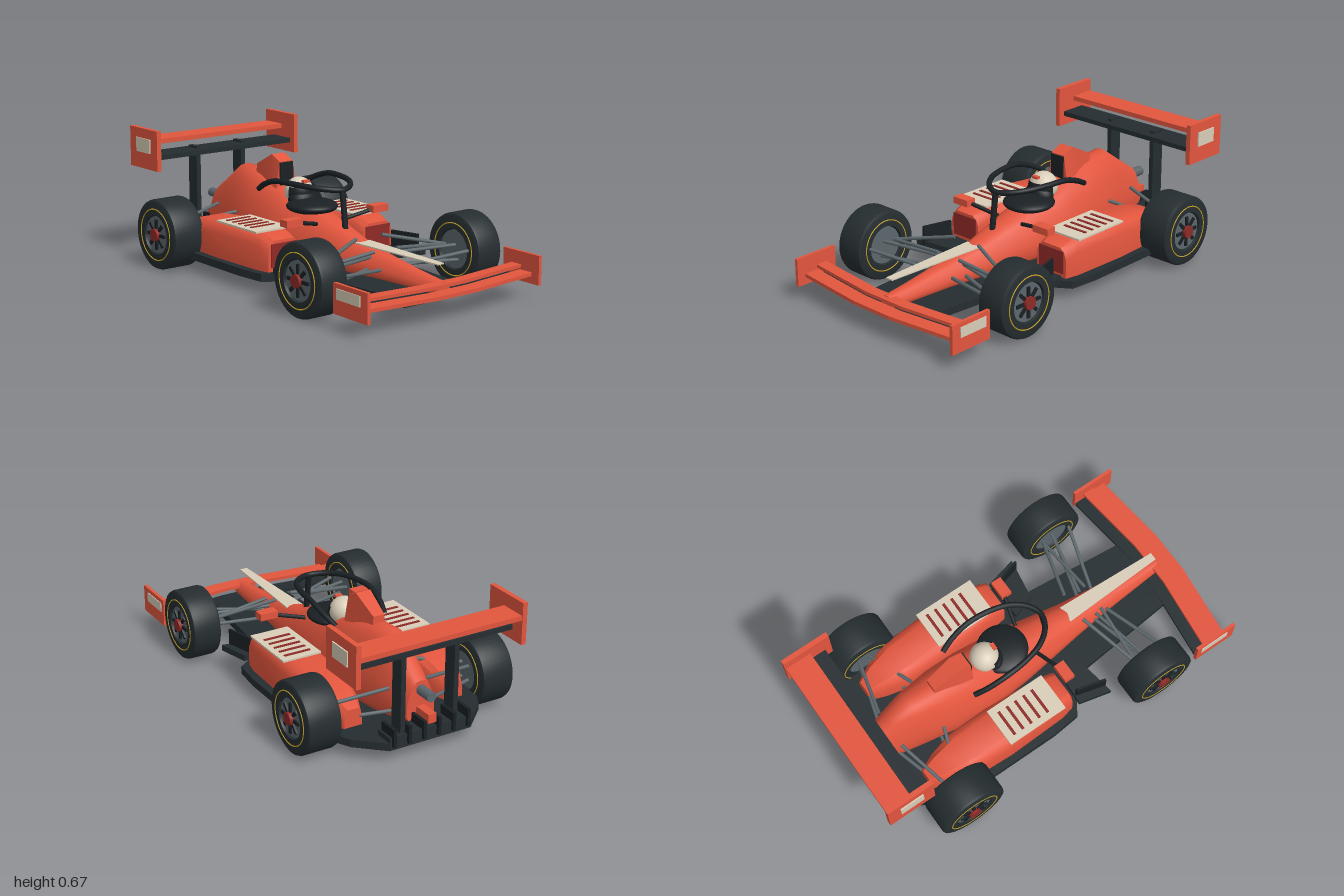
import * as THREE from 'three';
import { toCreasedNormals } from 'three/addons/utils/BufferGeometryUtils.js';

const paint = (color) => new THREE.MeshStandardMaterial({ color });
const RED = paint(0xe2553d), DARK = paint(0x252d30), BLACK = paint(0x1a2024), CREAM = paint(0xd8cdb8);
const GREY = paint(0x5c676c), GOLD = paint(0xc9a227), MAROON = paint(0x8e2a26);

export function createModel() {
  const car = new THREE.Group();
  car.name = 'raceCar';

  const add = (name, geometry, material, x = 0, y = 0, z = 0, parent = car) => {
    const mesh = new THREE.Mesh(geometry, material);
    mesh.name = name;
    mesh.position.set(x, y, z);
    parent.add(mesh);
    return mesh;
  };
  // Box given by its extents
  const box = (name, material, x0, x1, y0, y1, z0, z1) =>
    add(name, new THREE.BoxGeometry(Math.abs(x1 - x0), y1 - y0, Math.abs(z1 - z0)), material,
      (x0 + x1) / 2, (y0 + y1) / 2, (z0 + z1) / 2);
  // Straight rod between two points
  const rod = (name, material, a, b, r) => {
    const p = new THREE.Vector3(...a), q = new THREE.Vector3(...b), d = q.clone().sub(p);
    const mesh = add(name, new THREE.CylinderGeometry(r, r, d.length(), 10), material);
    mesh.position.copy(p).add(q).multiplyScalar(0.5);
    mesh.quaternion.setFromUnitVectors(new THREE.Vector3(0, 1, 0), d.normalize());
    return mesh;
  };
  // Flat plate from an [x, z] outline
  const plate = (name, material, outline, top, thick) => {
    const shape = new THREE.Shape(outline.map(([x, z]) => new THREE.Vector2(x, z)));
    const geo = new THREE.ExtrudeGeometry(shape, { depth: thick, bevelEnabled: false });
    return add(name, geo.rotateX(Math.PI / 2), material, 0, top, 0);
  };
  const mirrored = (half) => [...half, ...half.map(([x, z]) => [-x, z]).reverse()];
  // Skin through rings of points (counter-clockwise from the front, front to back)
  const loft = (rings) => {
    const n = rings[0].length, pos = rings.flat(2), index = [];
    for (let i = 0; i < rings.length - 1; i++) {
      for (let j = 0; j < n; j++) {
        const a = i * n + j, b = i * n + (j + 1) % n;
        index.push(a, a + n, b, a + n, b + n, b);
      }
    }
    [rings[0], rings[rings.length - 1]].forEach((ring, end) => {
      const base = pos.length / 3;
      pos.push(...ring.flat());
      for (let j = 1; j < n - 1; j++) {
        if (end) index.push(base, base + j + 1, base + j);
        else index.push(base, base + j, base + j + 1);
      }
    });
    const geo = new THREE.BufferGeometry();
    geo.setAttribute('position', new THREE.Float32BufferAttribute(pos, 3));
    geo.setIndex(index);
    geo.computeVertexNormals();
    return geo;
  };

  // Body shell: [z, half width, bottom, top]
  const section = [[0.85, 0], [1, 0.1], [1, 0.32], [0.92, 0.5], [0.76, 0.7], [0.56, 0.88], [0.3, 0.98], [0, 1]];
  const ringPoints = [...section, ...section.slice(0, -1).reverse().map(([x, y]) => [-x, y])];
  const shell = [
    [0.9, 0.04, 0.105, 0.16], [0.76, 0.052, 0.105, 0.175], [0.55, 0.07, 0.105, 0.205],
    [0.35, 0.093, 0.1, 0.238], [0.15, 0.123, 0.1, 0.3], [0, 0.145, 0.1, 0.345],
    [-0.15, 0.158, 0.1, 0.375], [-0.25, 0.161, 0.1, 0.42], [-0.42, 0.155, 0.1, 0.458],
    [-0.6, 0.125, 0.1, 0.48], [-0.72, 0.102, 0.11, 0.395], [-0.83, 0.075, 0.13, 0.32],
  ];
  add('bodyShell', loft(shell.map(([z, w, y0, y1]) =>
    ringPoints.map(([x, y]) => [x * w, y0 + y * (y1 - y0), z]))), RED);
  plate('noseStripe', CREAM, mirrored([[0.045, 0.33], [0.02, 0.88]]), 0.24, 0.006);

  // Air intake behind the driver
  const intake = [[-0.265, 0.064, 0.04, 0.54], [-0.33, 0.06, 0.04, 0.57], [-0.47, 0.036, 0.03, 0.5]];
  add('airIntake', toCreasedNormals(loft(intake.map(([z, b, t, y]) =>
    [[b, 0.4, z], [t, y, z], [-t, y, z], [-b, 0.4, z]])), 0.5), RED);
  box('intakeMouth', BLACK, -0.04, 0.04, 0.42, 0.535, -0.268, -0.258);

  // Cockpit, driver and halo
  add('cockpit', new THREE.SphereGeometry(1, 32, 16).scale(0.128, 0.037, 0.13), BLACK, 0, 0.347, -0.055);
  add('driverBody', new THREE.SphereGeometry(1, 24, 12).scale(0.08, 0.05, 0.06), BLACK, 0, 0.37, -0.13);
  add('helmet', new THREE.SphereGeometry(0.073, 32, 20), CREAM, 0, 0.403, -0.16);
  add('visor', new THREE.SphereGeometry(0.076, 24, 8, Math.PI * 0.05, Math.PI * 0.9, 1.15, 0.65),
    BLACK, 0, 0.403, -0.16);
  box('helmetBadge', RED, -0.018, 0.018, 0.455, 0.468, -0.115, -0.095);
  const halo = [[0.135, 0.41, -0.31], [0.155, 0.445, -0.24], [0.165, 0.478, -0.14], [0.155, 0.482, -0.02],
    [0.125, 0.478, 0.08], [0.07, 0.47, 0.15]];
  const haloPath = [...halo, [0, 0.464, 0.18], ...halo.map(([x, y, z]) => [-x, y, z]).reverse()];
  add('halo', new THREE.TubeGeometry(new THREE.CatmullRomCurve3(
    haloPath.map((p) => new THREE.Vector3(...p))), 64, 0.014, 10), BLACK);
  rod('haloPillar', BLACK, [0, 0.27, 0.205], [0, 0.464, 0.18], 0.015);

  // Floor and diffuser
  plate('floor', DARK, mirrored([[0.195, 0.86], [0.25, 0.29], [0.25, 0.22], [0.43, 0.1], [0.445, -0.05],
    [0.445, -0.62], [0.35, -0.8], [0.22, -0.92]]), 0.1, 0.038);
  box('diffuserRamp', DARK, -0.22, 0.22, 0.09, 0.125, -0.92, -0.82);
  for (let i = 0; i < 6; i++) {
    const x = -0.2 + i * 0.08;
    box('diffuserFin', BLACK, x - 0.008, x + 0.008, 0.08, 0.17, -0.935, -0.83);
  }
  box('rearLight', RED, -0.022, 0.022, 0.15, 0.195, -0.93, -0.82);
  rod('exhaust', GREY, [0, 0.275, -0.78], [0, 0.275, -0.92], 0.025);

  // Front wing planes: [front edge, back edge] at the centre, swept back to the tips
  const wing = (name, mat, front, back, top, thick) => plate(name, mat,
    mirrored([[0.12, front], [0.52, front - 0.045], [0.52, back - 0.045], [0.12, back]]), top, thick);
  wing('frontWingMain', RED, 0.997, 0.92, 0.13, 0.018);
  wing('frontWingFlap', RED, 0.925, 0.865, 0.155, 0.016);
  wing('frontWingBase', DARK, 0.9, 0.815, 0.104, 0.018);

  // Rear wing planes
  box('rearWingMain', RED, -0.43, 0.43, 0.583, 0.607, -0.995, -0.86);
  box('rearWingLower', DARK, -0.43, 0.43, 0.514, 0.538, -0.93, -0.785);

  for (const s of [1, -1]) {
    // Sidepod: [z, inner x, outer x, top]
    const pod = [[0.1, 0.2, 0.385, 0.25], [0.03, 0.19, 0.4, 0.276], [-0.28, 0.172, 0.41, 0.282],
      [-0.5, 0.172, 0.4, 0.262], [-0.62, 0.2, 0.365, 0.23], [-0.7, 0.23, 0.325, 0.19]];
    add('sidepod', toCreasedNormals(loft(pod.map(([z, a, b, top]) => {
      const x0 = Math.min(a * s, b * s), x1 = Math.max(a * s, b * s), c = (x1 - x0) * 0.2;
      const mid = top - 0.055;
      return [[x0, 0.09, z], [x1, 0.09, z], [x1, mid, z], [x1 - c * 0.35, top - 0.02, z], [x1 - c, top, z],
        [x0 + c, top, z], [x0 + c * 0.35, top - 0.02, z], [x0, mid, z]];
    })), 0.6), RED);
    box('sidepodInlet', MAROON, s * 0.215, s * 0.37, 0.12, 0.235, 0.098, 0.104);
    box('louvrePanel', CREAM, s * 0.205, s * 0.41, 0.281, 0.29, -0.29, 0.035);
    for (let i = 0; i < 5; i++) {
      const z = -0.245 + i * 0.049;
      box('louvreSlot', MAROON, s * 0.24, s * 0.38, 0.286, 0.294, z - 0.007, z + 0.007);
    }

    // Mirror, turning vanes
    box('mirror', RED, s * 0.22, s * 0.315, 0.315, 0.35, 0.1, 0.155);
    rod('mirrorArm', BLACK, [s * 0.08, 0.29, 0.08], [s * 0.23, 0.325, 0.12], 0.01);
    plate('turningVane', DARK, [[0.17, 0.15], [0.39, 0.14], [0.43, 0.305], [0.21, 0.27]]
      .map(([x, z]) => [x * s, z]), 0.132, 0.03);
    plate('vaneFin', BLACK, [[0.34, 0.15], [0.352, 0.15], [0.392, 0.3], [0.38, 0.3]]
      .map(([x, z]) => [x * s, z]), 0.212, 0.1);

    // Wing end plates with pale panels, rear wing struts
    box('frontEndPlate', RED, s * 0.513, s * 0.53, 0.075, 0.217, 0.765, 0.998);
    box('frontEndPanel', CREAM, s * 0.528, s * 0.534, 0.145, 0.195, 0.79, 0.95);
    box('rearEndPlate', RED, s * 0.425, s * 0.45, 0.463, 0.67, -1, -0.75);
    box('rearEndPanel', CREAM, s * 0.448, s * 0.457, 0.547, 0.62, -0.935, -0.81);
    box('rearWingStrut', DARK, s * 0.13, s * 0.155, 0.08, 0.55, -0.903, -0.83);

    // Wishbones, push rods
    const arms = [
      [0.08, 0.27, 0.38, 0.4, 0.195, 0.48], [0.07, 0.23, 0.5, 0.4, 0.195, 0.48],
      [0.07, 0.14, 0.46, 0.41, 0.13, 0.56], [0.06, 0.15, 0.54, 0.4, 0.19, 0.64],
      [0.07, 0.2, 0.47, 0.41, 0.2, 0.54],
      [0.14, 0.26, -0.5, 0.42, 0.21, -0.6], [0.1, 0.26, -0.72, 0.42, 0.21, -0.64],
      [0.14, 0.14, -0.52, 0.42, 0.14, -0.6], [0.08, 0.15, -0.74, 0.42, 0.14, -0.64],
    ];
    for (const [a, b, c, d, e, f] of arms) rod('suspensionArm', GREY, [s * a, b, c], [s * d, e, f], 0.009);

    // Wheels: [name, centre x, z, half width]
    for (const [name, x, z, w] of [['frontWheel', 0.476, 0.535, 0.077], ['rearWheel', 0.472, -0.61, 0.088]]) {
      const wheel = new THREE.Group();
      wheel.name = name;
      wheel.position.set(s * x, 0.178, z);
      wheel.rotation.z = -s * Math.PI / 2; // local +y points outward
      car.add(wheel);
      const tyre = [[0.092, -w + 0.03], [0.1, -w], [0.162, -w], [0.174, -w + 0.006], [0.178, -w + 0.018],
        [0.178, w - 0.018], [0.174, w - 0.006], [0.162, w], [0.1, w], [0.092, w - 0.03], [0.092, -w + 0.03]];
      add('tyre', toCreasedNormals(new THREE.LatheGeometry(
        tyre.map((p) => new THREE.Vector2(...p)), 48), 0.6), DARK, 0, 0, 0, wheel);
      add('rim', new THREE.CylinderGeometry(0.094, 0.094, 2 * w - 0.02, 32), GREY, 0, 0, 0, wheel);
      for (const e of [1, -1]) {
        add('tyreBand', new THREE.TorusGeometry(0.13, 0.003, 6, 48).rotateX(Math.PI / 2), GOLD,
          0, e * w, 0, wheel);
      }
      for (let i = 0; i < 8; i++) {
        const a = i * Math.PI / 4;
        const spoke = add('spoke', new THREE.BoxGeometry(0.055, 0.012, 0.016), BLACK,
          Math.cos(a) * 0.05, w - 0.007, Math.sin(a) * 0.05, wheel);
        spoke.rotation.y = -a;
      }
      add('hub', new THREE.CylinderGeometry(0.032, 0.032, 0.03, 20), MAROON, 0, w - 0.002, 0, wheel);
    }
  }
  return car;
}
